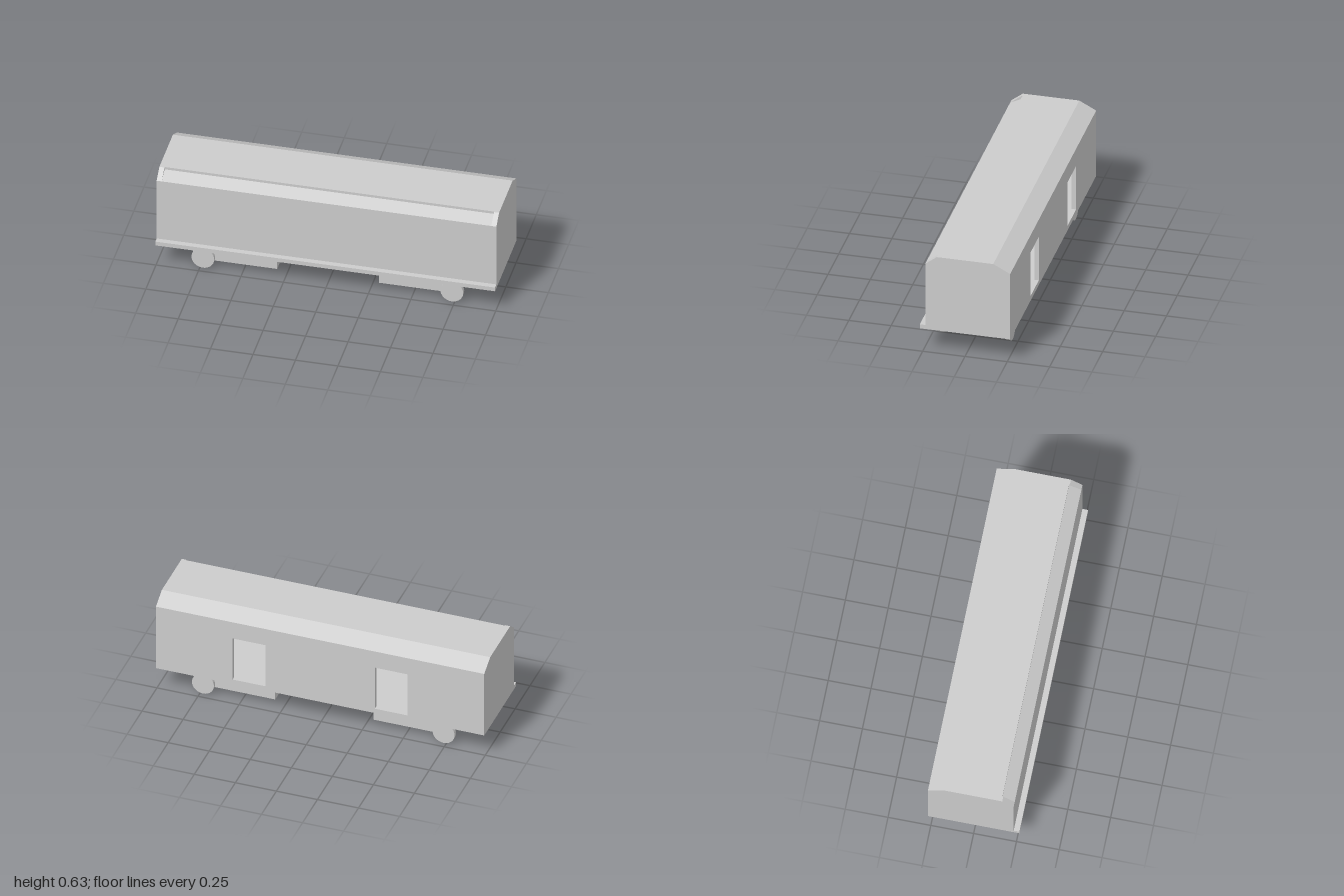
import * as THREE from 'three';

const bodyGrey = new THREE.MeshStandardMaterial({ color: 0xcccccc });
bodyGrey.name = 'bodyGrey';

const FLOOR = 0.148, SILL = 0.174, EAVE = 0.575, ROOF = 0.627;
const BACK = -0.267, WALL = 0.027, END = 0.03;

function add(parent, name, geometry) {
  const mesh = new THREE.Mesh(geometry, bodyGrey);
  mesh.name = name;
  parent.add(mesh);
  return mesh;
}

// Sweeps a [z, y] cross-section along x
function sweep(section, x0, x1) {
  const shape = new THREE.Shape(section.map(([z, y]) => new THREE.Vector2(-z, y)));
  return new THREE.ExtrudeGeometry(shape, { depth: x1 - x0, bevelEnabled: false })
    .rotateY(Math.PI / 2)
    .translate(x0, 0, 0);
}

function rectangle(Type, x0, x1, y0, y1) {
  const r = new Type();
  r.moveTo(x0, y0);
  r.lineTo(x1, y0);
  r.lineTo(x1, y1);
  r.lineTo(x0, y1);
  r.closePath();
  return r;
}

export function createModel() {
  const model = new THREE.Group();
  model.name = 'railCar';

  // Solid end walls with the full outline, including the front ledge
  const outline = [
    [BACK, FLOOR], [0.267, FLOOR], [0.267, SILL], [0.234, SILL],
    [0.234, EAVE], [0.167, ROOF], [-0.167, ROOF], [BACK, EAVE],
  ];
  add(model, 'leftEndWall', sweep(outline, 1 - END, 1));
  add(model, 'rightEndWall', sweep(outline, -1, -1 + END));

  // Hollow shell: floor, front wall, recessed front slope, roof and back slope
  const inner = BACK + WALL;
  const shell = [
    [inner, FLOOR], [0.267, FLOOR], [0.267, SILL], [0.234, SILL],
    [0.234, EAVE], [0.162, 0.611], [0.162, ROOF], [-0.167, ROOF],
    [BACK, EAVE], [inner, 0.56], [-0.16, 0.6], [0.15, 0.6],
    [0.207, 0.56], [0.207, SILL], [inner, SILL],
  ];
  add(model, 'bodyShell', sweep(shell, -1 + END, 1 - END));

  // Back wall with two doorways
  const wall = rectangle(THREE.Shape, -1 + END, 1 - END, FLOOR, EAVE);
  for (const x of [-0.533, 0.333]) {
    wall.holes.push(rectangle(THREE.Path, x, x + 0.2, 0.178, 0.463));
  }
  // Thinned at the top so that it stays under the roof slope
  const wallGeometry = new THREE.ExtrudeGeometry(wall, { depth: WALL, bevelEnabled: false })
    .translate(0, 0, BACK);
  add(model, 'backWall', wallGeometry);

  // Bogies, each with one pair of wheels near the car's end
  for (const side of [1, -1]) {
    const bogie = new THREE.Group();
    bogie.name = side > 0 ? 'leftBogie' : 'rightBogie';
    add(bogie, 'bogieFrame', new THREE.BoxGeometry(0.467, 0.102, 0.388))
      .position.set(side * 0.5335, 0.098, 0);
    for (const z of [0.201, -0.201]) {
      const wheel = new THREE.CylinderGeometry(0.067, 0.067, 0.026, 32).rotateX(Math.PI / 2);
      add(bogie, z > 0 ? 'frontWheel' : 'backWheel', wheel)
        .position.set(side * 0.733, 0.067, z);
    }
    model.add(bogie);
  }

  return model;
}
